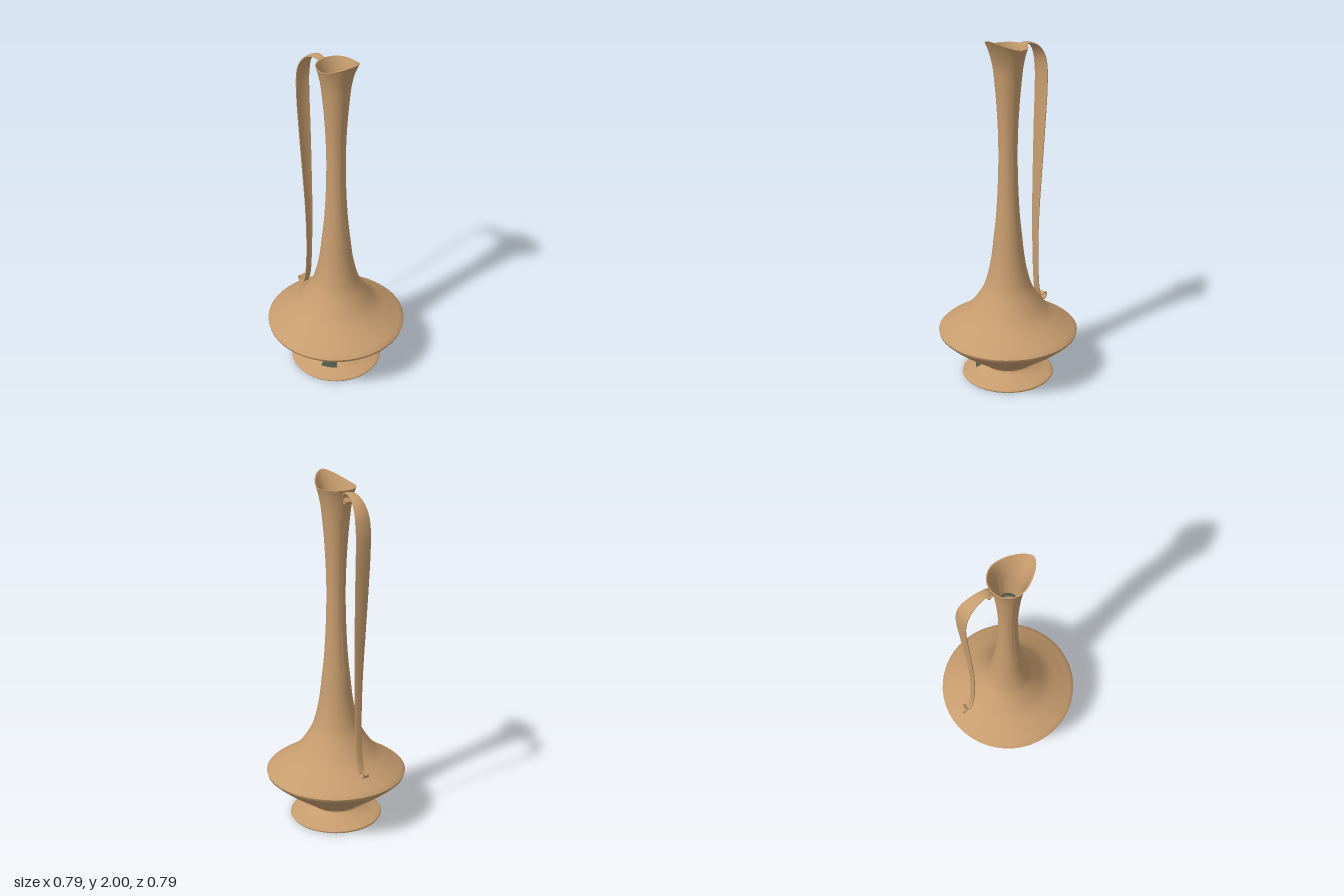
import * as THREE from 'three';
import { mergeVertices, toCreasedNormals } from 'three/addons/utils/BufferGeometryUtils.js';

const tan = new THREE.MeshStandardMaterial({ color: 0xc69c6d, side: THREE.DoubleSide });
tan.name = 'tan clay';
const green = new THREE.MeshStandardMaterial({ color: 0x4a5446, side: THREE.DoubleSide });
green.name = 'dark green';

const v2 = (list) => list.map(([x, y]) => new THREE.Vector2(x, y));
const smooth = (list, n) => new THREE.SplineCurve(v2(list)).getPoints(n);

// Drops seams so that normals run smoothly all the way round
function weld(geometry, crease) {
  geometry.deleteAttribute('uv');
  geometry.deleteAttribute('normal');
  const welded = mergeVertices(geometry, 1e-5);
  welded.computeVertexNormals();
  return toCreasedNormals(welded, crease);
}

// Pulls the rim out into a pointed, raised spout on +x
function shapeSpout(geometry) {
  const p = geometry.attributes.position;
  for (let i = 0; i < p.count; i++) {
    const x = p.getX(i), y = p.getY(i), z = p.getZ(i);
    const r = Math.hypot(x, z);
    if (y < 1.8 || x <= 0 || r < 1e-4) continue;
    const w = Math.min(1, (y - 1.8) / 0.14) ** 2;
    const c = x / r;
    p.setXYZ(i, x * (1 + 0.44 * w), y + 0.06 * w * c ** 1.6, z * (1 - 0.28 * w * c * c));
  }
}

// Ribbon with a shallow trough section, swept along a path in the xy plane
function ribbon(path, halfWidth, thickness, steps) {
  const curve = new THREE.CatmullRomCurve3(path.map(([x, y]) => new THREE.Vector3(x, y, 0)), false, 'centripetal');
  const across = 6, ring = 2 * (across + 1);
  const pos = [], index = [];
  for (let i = 0; i <= steps; i++) {
    const t = i / steps;
    const c = curve.getPointAt(t), d = curve.getTangentAt(t);
    const nx = d.y, ny = -d.x;
    const h = halfWidth(t);
    for (let j = 0; j < ring; j++) {
      const outer = j <= across;
      const s = (outer ? j : ring - 1 - j) / across * 2 - 1;
      const off = (outer ? 0.5 : -0.5) * thickness - 0.14 * h * s * s;
      pos.push(c.x + nx * off, c.y + ny * off, h * s);
    }
  }
  for (let i = 0; i < steps; i++) {
    for (let j = 0; j < ring; j++) {
      const a = i * ring + j, b = i * ring + (j + 1) % ring;
      index.push(a, b, a + ring, b, b + ring, a + ring);
    }
  }
  // end caps
  for (const base of [0, steps * ring]) {
    for (let j = 1; j < ring - 1; j++) index.push(base, base + j, base + j + 1);
  }
  const g = new THREE.BufferGeometry();
  g.setAttribute('position', new THREE.Float32BufferAttribute(pos, 3));
  g.setIndex(index);
  g.computeVertexNormals();
  return toCreasedNormals(g, 0.9);
}

export function createModel() {
  const model = new THREE.Group();
  model.name = 'ewer';
  const add = (name, geometry, material) => {
    const mesh = new THREE.Mesh(geometry, material);
    mesh.name = name;
    model.add(mesh);
    return mesh;
  };

  // Flared foot with a closed base
  const foot = [
    ...v2([[0, 0], [0.256, 0]]),
    ...smooth([[0.262, 0.008], [0.255, 0.017], [0.2, 0.036], [0.163, 0.055], [0.143, 0.07], [0.14, 0.085]], 20),
  ];
  add('foot', weld(new THREE.LatheGeometry(foot, 48), 0.9), tan);

  // Belly, neck and rim, then the inner wall back down
  const lower = smooth([[0.14, 0.075], [0.17, 0.1], [0.24, 0.148], [0.31, 0.2], [0.365, 0.245], [0.393, 0.272]], 14);
  const upper = smooth([
    [0.396, 0.285], [0.378, 0.302], [0.325, 0.337], [0.23, 0.41], [0.15, 0.525], [0.118, 0.61], [0.095, 0.72],
    [0.08, 0.85], [0.065, 1.0], [0.055, 1.2], [0.053, 1.4], [0.061, 1.6], [0.078, 1.8], [0.093, 1.89], [0.108, 1.94],
  ], 70);
  const outer = [...lower, ...upper];
  const inner = outer.map((p) => new THREE.Vector2(p.x - 0.006, p.y)).reverse();
  inner.push(new THREE.Vector2(0, 0.078));
  const body = new THREE.LatheGeometry([...outer, ...inner], 48);
  shapeSpout(body);
  add('body', weld(body, 0.9), tan);

  // Strap handle with a small scroll at each end
  const path = [
    [-0.115, 1.902], [-0.131, 1.885], [-0.115, 1.868], [-0.098, 1.885], [-0.099, 1.915], [-0.115, 1.931],
    [-0.165, 1.935], [-0.225, 1.908], [-0.268, 1.85], [-0.286, 1.77], [-0.288, 1.66], [-0.277, 1.45],
    [-0.262, 1.2], [-0.249, 0.95], [-0.246, 0.75], [-0.252, 0.56], [-0.263, 0.45], [-0.278, 0.395],
    [-0.292, 0.368], [-0.312, 0.36], [-0.331, 0.379], [-0.313, 0.398], [-0.297, 0.383],
  ];
  const width = (t) => {
    if (t < 0.2) return 0.018 + 0.026 * THREE.MathUtils.smoothstep(t, 0.04, 0.2);
    return 0.044 - 0.025 * THREE.MathUtils.smoothstep(t, 0.22, 0.85);
  };
  add('handle', ribbon(path, width, 0.005, 160), tan);

  // Thin octagonal ring inside the neck
  const ring = new THREE.RingGeometry(0.042, 0.0605, 8, 1, Math.PI / 8);
  ring.rotateX(-Math.PI / 2).translate(0, 1.62, 0);
  add('neckRing', ring, green);

  // Small dark patch on the foot
  const patch = v2([[0.187, 0.0445], [0.166, 0.056], [0.149, 0.068]]);
  add('footPatch', new THREE.LatheGeometry(patch, 8, 0.4, 0.52), green);

  return model;
}
